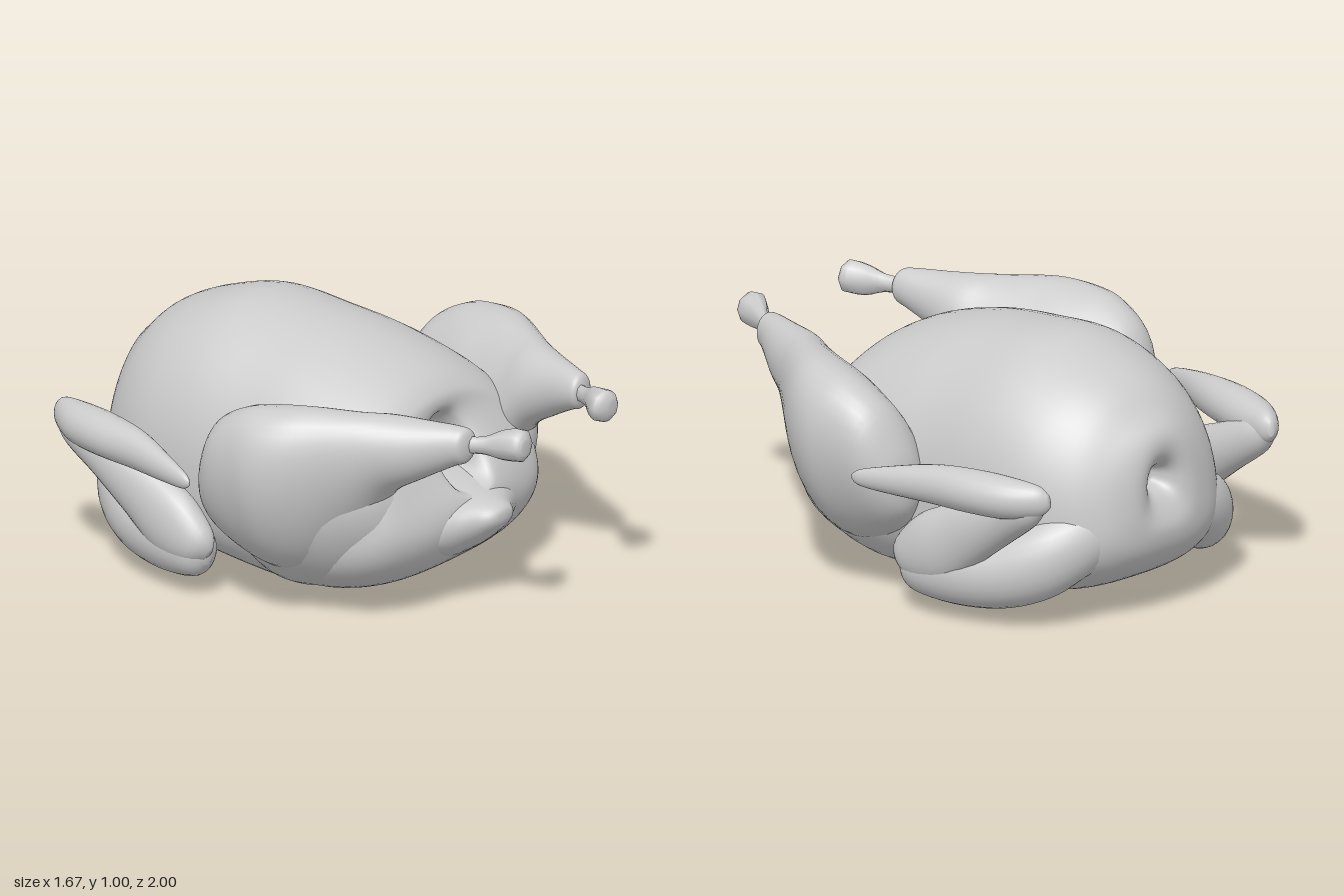
import * as THREE from 'three';

const SIDES = 36;

// Catmull-Rom interpolation between rows of numbers
function smoothRows(rows, sub = 5) {
  const out = [];
  const at = (i) => rows[Math.min(Math.max(i, 0), rows.length - 1)];
  for (let i = 0; i < rows.length - 1; i++) {
    for (let k = 0; k < sub; k++) {
      const t = k / sub;
      out.push(at(i).map((b, c) => {
        const a = at(i - 1)[c], d = at(i + 1)[c], e = at(i + 2)[c];
        return b + 0.5 * t * (d - a + t * (2 * a - 5 * b + 4 * d - e + t * (3 * (b - d) + e - a)));
      }));
    }
  }
  out.push(rows[rows.length - 1]);
  return out;
}

// Skin a list of rings (arrays of Vector3) and close both ends; side -1 mirrors in x
function skin(name, rings, side, material) {
  const n = rings[0].length, pos = [], idx = [];
  const put = (v) => pos.push(v.x * side, v.y, v.z);
  const tri = (a, b, c) => (side > 0 ? idx.push(a, b, c) : idx.push(a, c, b));
  rings.forEach((ring) => ring.forEach(put));
  for (let i = 0; i < rings.length - 1; i++) {
    for (let j = 0; j < n; j++) {
      const a = i * n + j, b = i * n + (j + 1) % n;
      tri(a, b, a + n);
      tri(b, b + n, a + n);
    }
  }
  [0, rings.length - 1].forEach((r) => {
    const mid = new THREE.Vector3();
    rings[r].forEach((v) => mid.addScaledVector(v, 1 / n));
    const c = pos.length / 3;
    put(mid);
    for (let j = 0; j < n; j++) {
      const a = r * n + j, b = r * n + (j + 1) % n;
      if (r === 0) tri(c, b, a); else tri(c, a, b);
    }
  });
  const geo = new THREE.BufferGeometry();
  geo.setAttribute('position', new THREE.Float32BufferAttribute(pos, 3));
  geo.setIndex(idx);
  geo.computeVertexNormals();
  const mesh = new THREE.Mesh(geo, material);
  mesh.name = name;
  return mesh;
}

function ringOf(fn, n = SIDES) {
  return Array.from({ length: n }, (_, j) => {
    const a = (j / n) * Math.PI * 2;
    return fn(Math.cos(a), Math.sin(a));
  });
}

// Body section [zTop, top, zBottom, bottom, halfWidth, widestY]: round above, squarer below
function bodyRing([zT, top, zB, bot, w, mid]) {
  return ringOf((c, s) => {
    const p = s < 0 ? 0.72 : 0.97;
    const x = w * Math.sign(c) * Math.abs(c) ** p;
    const y = mid + Math.sign(s) * Math.abs(s) ** p * (s < 0 ? mid - bot : top - mid);
    return new THREE.Vector3(x, y, zB + (zT - zB) * (y - bot) / (top - bot));
  }, 64);
}

// Upright elliptical section [z, x, y, rx, ry, lean]
const uprightRing = (n) => ([z, x, y, rx, ry, lean]) =>
  ringOf((c, s) => new THREE.Vector3(x + rx * c + lean * ry * s, y + ry * s, z), n);

// Elliptical sections [x, y, z, thin, tall] square to the path they follow
function limbRings(rows) {
  const p = rows.map((r) => new THREE.Vector3(r[0], r[1], r[2]));
  return rows.map((r, i) => {
    const t = p[Math.min(i + 1, p.length - 1)].clone().sub(p[Math.max(i - 1, 0)]).normalize();
    const across = new THREE.Vector3(0, 1, 0).cross(t).normalize();
    const up = t.clone().cross(across);
    return ringOf((c, s) => p[i].clone().addScaledVector(across, r[3] * c).addScaledVector(up, r[4] * s), 24);
  });
}

// Neck dent at the back, breast, then the open cavity turned inwards at the front
const BODY = [
  [-0.87, 0.56, -0.87, 0.50, 0.03, 0.53],
  [-0.94, 0.59, -0.94, 0.47, 0.06, 0.53],
  [-0.975, 0.65, -0.985, 0.40, 0.10, 0.51],
  [-0.965, 0.72, -1.00, 0.33, 0.17, 0.48],
  [-0.90, 0.79, -0.97, 0.24, 0.285, 0.43],
  [-0.80, 0.88, -0.88, 0.15, 0.39, 0.42],
  [-0.65, 0.95, -0.70, 0.07, 0.475, 0.43],
  [-0.45, 1.00, -0.45, 0.03, 0.515, 0.43],
  [-0.20, 0.98, -0.20, 0.00, 0.53, 0.41],
  [0.00, 0.95, 0.00, 0.005, 0.56, 0.38],
  [0.20, 0.895, 0.20, 0.03, 0.57, 0.36],
  [0.32, 0.84, 0.38, 0.09, 0.55, 0.37],
  [0.38, 0.79, 0.51, 0.18, 0.49, 0.41],
  [0.40, 0.75, 0.575, 0.29, 0.40, 0.47],
  [0.39, 0.71, 0.59, 0.40, 0.18, 0.55],
  [0.34, 0.685, 0.55, 0.43, 0.11, 0.55],
  [0.22, 0.65, 0.36, 0.45, 0.10, 0.55],
  [0.10, 0.60, 0.14, 0.50, 0.05, 0.55],
];

const TAIL = [
  [0.40, 0, 0.30, 0.34, 0.18, 0],
  [0.50, 0, 0.31, 0.30, 0.14, 0],
  [0.56, 0, 0.32, 0.25, 0.112, 0],
  [0.60, 0, 0.33, 0.18, 0.092, 0],
  [0.645, 0, 0.345, 0.11, 0.068, 0],
  [0.68, 0, 0.355, 0.072, 0.045, 0],
  [0.695, 0, 0.36, 0.045, 0.027, 0],
  [0.70, 0, 0.36, 0.012, 0.01, 0],
];

// Flesh joining the thigh to the belly
const HIP = [
  [-0.20, 0.47, 0.34, 0.03, 0.08, 0.40],
  [-0.12, 0.48, 0.33, 0.12, 0.20, 0.40],
  [0.00, 0.48, 0.33, 0.185, 0.27, 0.45],
  [0.15, 0.475, 0.34, 0.20, 0.27, 0.45],
  [0.28, 0.45, 0.37, 0.195, 0.255, 0.40],
  [0.38, 0.42, 0.405, 0.165, 0.21, 0.35],
  [0.46, 0.39, 0.43, 0.11, 0.14, 0.30],
  [0.50, 0.37, 0.43, 0.03, 0.04, 0.20],
];

const DRUMSTICK = [
  [-0.23, 0.60, 0.47, 0.02, 0.04, 0],
  [-0.21, 0.605, 0.48, 0.09, 0.13, 0.1],
  [-0.13, 0.605, 0.51, 0.16, 0.25, 0.2],
  [0.00, 0.595, 0.515, 0.20, 0.325, 0.22],
  [0.12, 0.575, 0.52, 0.232, 0.345, 0.22],
  [0.25, 0.54, 0.55, 0.217, 0.325, 0.22],
  [0.40, 0.48, 0.63, 0.168, 0.235, 0.2],
  [0.50, 0.445, 0.70, 0.135, 0.16, 0.1],
  [0.62, 0.41, 0.735, 0.10, 0.117, 0],
  [0.74, 0.365, 0.765, 0.068, 0.08, 0],
  [0.785, 0.352, 0.77, 0.055, 0.065, 0],
  [0.80, 0.345, 0.77, 0.025, 0.03, 0],
];

const BONE = [
  [0.77, 0.345, 0.77, 0.028, 0.035, 0],
  [0.84, 0.315, 0.775, 0.027, 0.036, 0],
  [0.90, 0.28, 0.78, 0.048, 0.06, 0],
  [0.955, 0.257, 0.785, 0.066, 0.066, 0],
  [0.985, 0.262, 0.785, 0.052, 0.055, 0],
  [1.00, 0.27, 0.785, 0.025, 0.03, 0],
];

// The upper arm curves inwards into the shoulder of the body
const WING = {
  UpperArm: [
    [0.62, 0.17, -0.22, 0.02, 0.03],
    [0.61, 0.175, -0.27, 0.08, 0.095],
    [0.57, 0.185, -0.43, 0.11, 0.13],
    [0.50, 0.20, -0.60, 0.125, 0.14],
    [0.43, 0.25, -0.73, 0.12, 0.145],
    [0.34, 0.31, -0.80, 0.12, 0.14],
    [0.22, 0.36, -0.83, 0.12, 0.13],
    [0.10, 0.38, -0.84, 0.08, 0.09],
  ],
  Forearm: [
    [0.63, 0.18, -0.215, 0.015, 0.03],
    [0.63, 0.21, -0.26, 0.065, 0.09],
    [0.62, 0.265, -0.38, 0.085, 0.14],
    [0.605, 0.355, -0.53, 0.08, 0.125],
    [0.595, 0.455, -0.71, 0.075, 0.095],
    [0.60, 0.545, -0.86, 0.06, 0.075],
    [0.585, 0.59, -0.93, 0.02, 0.03],
  ],
  Tip: [
    [0.575, 0.585, -0.955, 0.012, 0.025],
    [0.595, 0.58, -0.915, 0.045, 0.06],
    [0.64, 0.575, -0.80, 0.08, 0.08],
    [0.68, 0.575, -0.65, 0.085, 0.083],
    [0.72, 0.57, -0.48, 0.065, 0.075],
    [0.78, 0.555, -0.30, 0.038, 0.052],
    [0.815, 0.545, -0.19, 0.02, 0.032],
    [0.825, 0.545, -0.155, 0.005, 0.01],
  ],
};

export function createModel() {
  const skinMat = new THREE.MeshStandardMaterial({ color: 0xcccccc });
  const group = new THREE.Group();
  group.name = 'rawPoultry';
  group.add(skin('body', smoothRows(BODY).map(bodyRing), 1, skinMat));
  group.add(skin('tail', smoothRows(TAIL).map(uprightRing(SIDES)), 1, skinMat));

  for (const side of [1, -1]) {
    const label = side > 0 ? 'left' : 'right';
    const leg = new THREE.Group();
    leg.name = label + 'Leg';
    leg.add(skin(label + 'Hip', smoothRows(HIP).map(uprightRing(SIDES)), side, skinMat));
    leg.add(skin(label + 'Drumstick', smoothRows(DRUMSTICK).map(uprightRing(SIDES)), side, skinMat));
    leg.add(skin(label + 'LegBone', smoothRows(BONE, 3).map(uprightRing(8)), side, skinMat));

    const wing = new THREE.Group();
    wing.name = label + 'Wing';
    for (const [part, rows] of Object.entries(WING)) {
      wing.add(skin(label + 'Wing' + part, limbRings(smoothRows(rows)), side, skinMat));
    }
    group.add(leg, wing);
  }
  return group;
}
